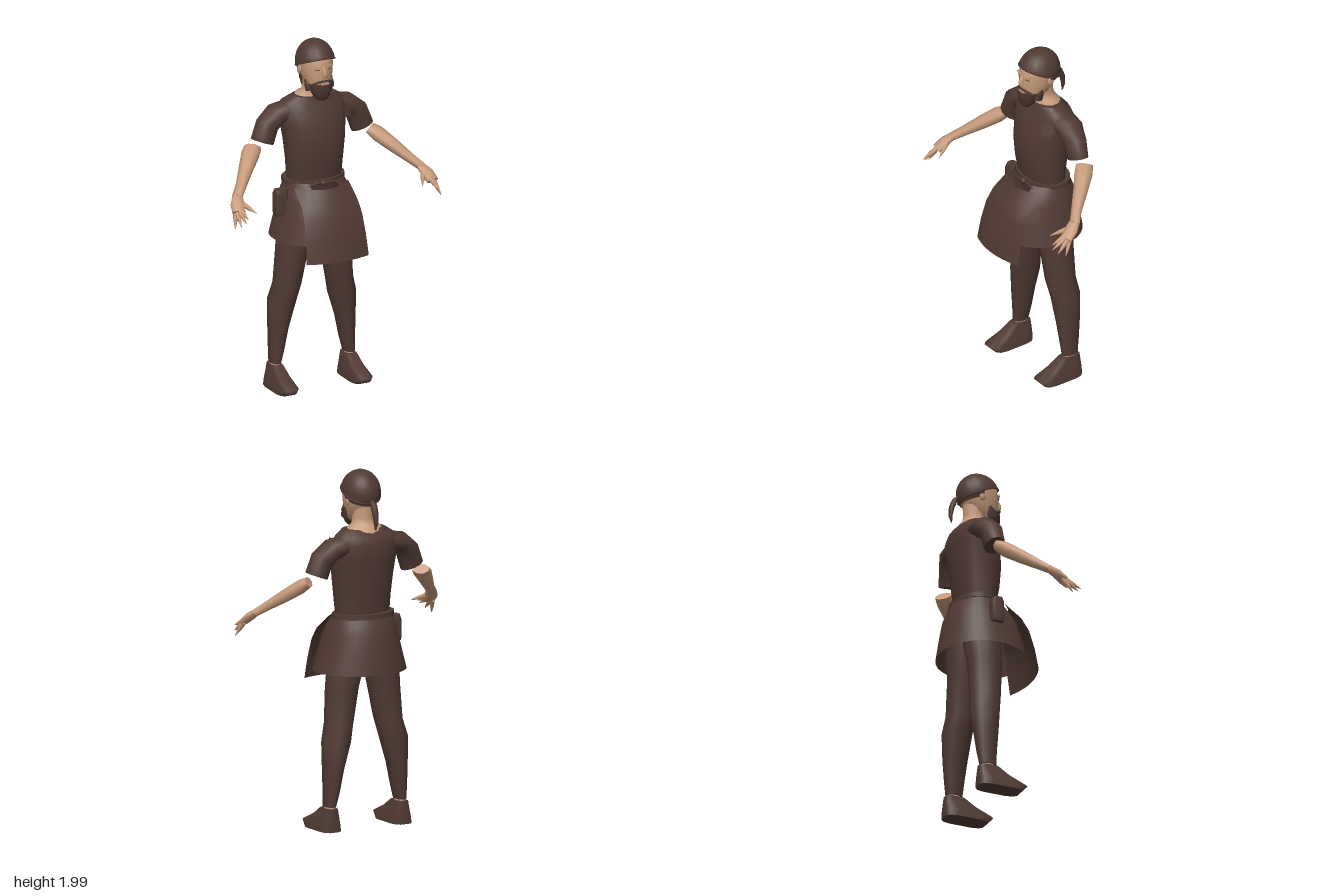
import * as THREE from 'three';

const mat = (name, color, extra = {}) => {
  const m = new THREE.MeshStandardMaterial({ color, ...extra });
  m.name = name;
  return m;
};

const V = (x, y, z) => new THREE.Vector3(x, y, z);

// Closed skin over rings [x, y, z, ra, rb]; ra runs along ref, dir fixes the ring planes
function loft(rings, { ref = V(1, 0, 0), dir = null, n = 14, power = 1 } = {}) {
  const pos = [], idx = [], c = rings.map(r => V(r[0], r[1], r[2]));
  const bend = t => Math.sign(t) * Math.abs(t) ** power;
  rings.forEach((r, i) => {
    const d = dir ? dir.clone() : c[Math.min(i + 1, c.length - 1)].clone().sub(c[Math.max(i - 1, 0)]).normalize();
    const u = ref.clone().addScaledVector(d, -ref.dot(d)).normalize();
    const v = u.clone().cross(d);
    for (let j = 0; j < n; j++) {
      const a = (j + 0.5) / n * Math.PI * 2;
      const p = c[i].clone().addScaledVector(u, r[3] * bend(Math.cos(a))).addScaledVector(v, r[4] * bend(Math.sin(a)));
      pos.push(p.x, p.y, p.z);
    }
  });
  for (let i = 0; i < rings.length - 1; i++) for (let j = 0; j < n; j++) {
    const a = i * n + j, b = i * n + (j + 1) % n;
    idx.push(a, a + n, b + n, a, b + n, b);
  }
  // End caps with their own corners, so the rims stay crisp
  [0, rings.length - 1].forEach((i, end) => {
    const s = pos.length / 3;
    for (let j = 0; j < n; j++) pos.push(...pos.slice((i * n + j) * 3, (i * n + j) * 3 + 3));
    for (let j = 1; j < n - 1; j++) idx.push(s, ...(end ? [s + j + 1, s + j] : [s + j, s + j + 1]));
  });
  return build(pos, idx);
}

// Open cloth sheet: at(i, t) gives a point for row i and t from 0 to 1
function sheet(rows, cols, at) {
  const pos = [], idx = [];
  for (let i = 0; i < rows; i++) for (let j = 0; j <= cols; j++) pos.push(...at(i, j / cols));
  for (let i = 0; i < rows - 1; i++) for (let j = 0; j < cols; j++) {
    const a = i * (cols + 1) + j, b = a + cols + 1;
    idx.push(a, b, a + 1, a + 1, b, b + 1);
  }
  return build(pos, idx);
}

function build(pos, idx) {
  const g = new THREE.BufferGeometry();
  g.setAttribute('position', new THREE.Float32BufferAttribute(pos, 3));
  g.setIndex(idx);
  g.computeVertexNormals();
  return g;
}

export function createModel() {
  const root = new THREE.Group();
  const cloth = mat('dark brown cloth', 0x503a33, { side: THREE.DoubleSide });
  const skin = mat('skin', 0xc69a7a);
  const hair = mat('beard brown', 0x49362f);
  const dark = mat('eye brown', 0x765644);
  const add = (name, geo, m, p = [0, 0, 0]) => {
    const mesh = new THREE.Mesh(geo, m);
    mesh.name = name;
    mesh.position.set(...p);
    root.add(mesh);
    return mesh;
  };
  const up = V(0, 1, 0), down = V(0, -1, 0), front = V(0, 0, 1);

  // Tunic body
  add('tunic', loft([
    [0, 1.1, -0.08, 0.15, 0.09], [0, 1.2, -0.08, 0.16, 0.1], [0, 1.3, -0.077, 0.164, 0.119],
    [0, 1.42, -0.08, 0.176, 0.131], [0, 1.52, -0.093, 0.188, 0.131], [0, 1.6, -0.107, 0.202, 0.118],
    [0, 1.645, -0.11, 0.18, 0.098], [0, 1.682, -0.092, 0.125, 0.073],
  ], { dir: up, n: 18, power: 0.88 }), cloth);

  // Skirt rows: height, centre z, half width, back depth, front depth; open at the front
  const skirt = [[1.2, -0.085, 0.168, 0.125, 0.142], [1.15, -0.08, 0.188, 0.158, 0.19], [1.1, -0.075, 0.203, 0.182, 0.227],
    [1.0, -0.07, 0.229, 0.204, 0.256], [0.885, -0.06, 0.263, 0.23, 0.264]];
  add('skirt', sheet(5, 26, (i, t) => {
    const [y, cz, rx, back, fore] = skirt[i], a = (t * 2 - 1) * 2.65, c = Math.cos(a);
    return [-rx * Math.sin(a), y, cz - c * (c < 0 ? fore : back)];
  }), cloth);

  // Apron hanging away from the waist
  const apron = [[1.18, 0.165, 0.01, 0.105], [1.1, 0.17, 0.12, 0.16], [1.03, 0.176, 0.165, 0.198], [0.92, 0.183, 0.197, 0.23], [0.803, 0.19, 0.217, 0.254]];
  add('apron', sheet(5, 10, (i, t) => {
    const [y, w, edge, mid] = apron[i], s = t * 2 - 1;
    return [s * w, y, mid + (edge - mid) * s * s];
  }), cloth);

  // Belt, knot and hanging ends
  add('belt', loft([[0, 1.185, -0.09, 0.183, 0.128], [0, 1.212, -0.09, 0.183, 0.128]], { dir: up, n: 24 }), cloth);
  add('beltKnot', new THREE.SphereGeometry(0.018, 8, 6), cloth, [0, 1.196, 0.042]);
  for (const s of [-1, 1]) {
    add('beltEnd', loft([[0, 1.195, 0.042, 0.007, 0.006], [s * 0.045, 1.203, 0.052, 0.01, 0.005], [s * 0.09, 1.185, 0.045, 0.005, 0.005]],
      { ref: up, n: 6 }), cloth);
  }
  add('beltPouch', loft([[-0.216, 1.02, -0.05, 0.038, 0.034], [-0.218, 1.04, -0.05, 0.04, 0.038], [-0.218, 1.14, -0.05, 0.039, 0.036], [-0.216, 1.165, -0.05, 0.036, 0.025]],
    { dir: up, n: 12, power: 0.5 }), cloth);

  // Limbs, mirrored side to side
  for (const s of [1, -1]) {
    const side = s > 0 ? 'left' : 'right';
    const m = rings => rings.map(([x, ...r]) => [s * x, ...r]);

    add(side + 'Sleeve', loft(m([
      [0.12, 1.6, -0.115, 0.08, 0.055], [0.215, 1.58, -0.115, 0.078, 0.061],
      [0.272, 1.53, -0.105, 0.064, 0.066], [0.305, 1.44, -0.1, 0.055, 0.068],
    ]), { ref: front }), cloth);
    add(side + 'Forearm', loft(m([
      [0.358, 1.413, -0.108, 0.03, 0.05], [0.39, 1.385, -0.075, 0.041, 0.052], [0.45, 1.33, -0.01, 0.037, 0.041],
      [0.52, 1.265, 0.07, 0.027, 0.03], [0.565, 1.225, 0.115, 0.022, 0.03],
    ]), { ref: up, n: 8 }), skin);
    add(side + 'Palm', loft(m([
      [0.56, 1.23, 0.11, 0.02, 0.03], [0.58, 1.2, 0.15, 0.024, 0.04], [0.592, 1.165, 0.195, 0.019, 0.038],
    ]), { ref: up, n: 8 }), skin);
    // Fingers and thumb: base then tip
    const digits = [[0.555, 1.2, 0.15, 0.507, 1.163, 0.24], [0.58, 1.18, 0.19, 0.575, 1.148, 0.275],
      [0.588, 1.172, 0.19, 0.592, 1.13, 0.287], [0.6, 1.165, 0.185, 0.61, 1.105, 0.262], [0.605, 1.165, 0.175, 0.628, 1.085, 0.223]];
    for (const [x, y, z, tx, ty, tz] of digits) {
      add(side + 'Finger', loft(m([[x, y, z, 0.016, 0.014], [(x + tx) / 2, (y + ty) / 2, (z + tz) / 2, 0.012, 0.011], [tx, ty, tz, 0.002, 0.002]]),
        { ref: up, n: 6 }), skin);
    }

    add(side + 'Leg', loft(m([
      [0.08, 1.1, -0.09, 0.08, 0.09], [0.108, 0.95, -0.09, 0.105, 0.105], [0.132, 0.8, -0.083, 0.092, 0.097],
      [0.158, 0.6, -0.091, 0.078, 0.088], [0.183, 0.5, -0.106, 0.081, 0.085], [0.204, 0.35, -0.108, 0.056, 0.072],
      [0.215, 0.23, -0.108, 0.043, 0.059], [0.225, 0.145, -0.105, 0.031, 0.05],
    ]), { dir: down }), cloth);
    add(side + 'Ankle', loft(m([[0.225, 0.1, -0.105, 0.026, 0.042], [0.225, 0.16, -0.105, 0.026, 0.042]]), { dir: up, n: 10 }), skin);
    // Wedge shoe with a flat sole and blunt toe
    add(side + 'Shoe', loft(m([
      [0.226, 0.008, -0.04, 0.06, 0.127], [0.226, 0.045, -0.023, 0.056, 0.145],
      [0.225, 0.09, -0.07, 0.042, 0.095], [0.225, 0.136, -0.102, 0.032, 0.058],
    ]), { dir: up, n: 12, power: 0.5 }), cloth);

    // Face details
    add(side + 'Ear', new THREE.SphereGeometry(0.02, 8, 6).scale(0.5, 1.3, 1), skin, [s * 0.09, 1.835, -0.075]);
    const eye = add(side + 'Eye', new THREE.BoxGeometry(0.026, 0.005, 0.008), dark, [s * 0.037, 1.857, 0.043]);
    eye.rotation.y = s * 0.4;
    const brow = add(side + 'Brow', new THREE.BoxGeometry(0.04, 0.008, 0.009), skin, [s * 0.036, 1.876, 0.047]);
    brow.rotation.y = s * 0.4;
    add(side + 'Moustache', loft([[s * 0.003, 1.793, 0.06, 0.006, 0.008], [s * 0.035, 1.788, 0.051, 0.006, 0.008], [s * 0.066, 1.765, 0.02, 0.005, 0.008]],
      { ref: up, n: 6 }), hair);
    add(side + 'Sideburn', loft([[s * 0.069, 1.73, -0.005, 0.03, 0.012], [s * 0.075, 1.76, -0.015, 0.024, 0.01], [s * 0.079, 1.79, -0.025, 0.006, 0.006]],
      { ref: front, n: 8 }), hair);
  }

  // Chest fold on the left shoulder
  const fold = add('shoulderFold', new THREE.CircleGeometry(0.045, 5), cloth, [0.165, 1.585, 0.005]);
  fold.rotation.set(-0.35, 0.6, 0.3);

  // Neck and head
  add('neck', loft([[0, 1.66, -0.105, 0.112, 0.085], [0, 1.688, -0.1, 0.1, 0.072], [0, 1.705, -0.09, 0.066, 0.064],
    [0, 1.74, -0.085, 0.058, 0.062], [0, 1.82, -0.08, 0.062, 0.07]], { dir: up }), skin);
  add('head', loft([
    [0, 1.715, -0.01, 0.045, 0.045], [0, 1.76, -0.035, 0.07, 0.085], [0, 1.82, -0.052, 0.086, 0.108],
    [0, 1.88, -0.058, 0.092, 0.11], [0, 1.925, -0.062, 0.088, 0.106], [0, 1.96, -0.07, 0.06, 0.07],
  ], { dir: up, n: 16 }), skin);
  add('nose', loft([[0, 1.875, 0.046, 0.008, 0.008], [0, 1.84, 0.06, 0.012, 0.015], [0, 1.815, 0.058, 0.018, 0.015], [0, 1.808, 0.05, 0.012, 0.01]],
    { dir: down, n: 8 }), skin);
  add('beard', loft([
    [0, 1.677, 0.025, 0.025, 0.022], [0, 1.7, 0.018, 0.048, 0.042], [0, 1.74, 0.01, 0.067, 0.055], [0, 1.77, 0.002, 0.075, 0.058],
  ], { dir: up, n: 12 }), hair);
  add('lips', new THREE.BoxGeometry(0.045, 0.011, 0.009), skin, [0, 1.777, 0.057]);

  // Head scarf: dome, rim, nape wrap and tail
  const cap = add('capDome', new THREE.SphereGeometry(1, 20, 8, 0, Math.PI * 2, 0, Math.PI / 2).scale(0.109, 0.13, 0.124), cloth, [0, 1.871, -0.062]);
  cap.rotation.x = -0.4;
  const rim = add('capRim', new THREE.TorusGeometry(1, 0.04, 6, 24).rotateX(Math.PI / 2).scale(0.107, 0.13, 0.121), cloth, [0, 1.871, -0.062]);
  rim.rotation.x = -0.4;
  add('napeWrap', sheet(3, 12, (i, t) => {
    const a = (t * 2 - 1) * 1.5, r = [1, 0.97, 0.88][i];
    return [-0.104 * r * Math.sin(a), 1.862 - i * (0.012 + 0.015 * Math.cos(a)), -0.06 - 0.116 * r * Math.cos(a)];
  }), cloth);
  add('scarfTail', loft([
    [0, 1.845, -0.185, 0.008, 0.008], [0, 1.82, -0.203, 0.02, 0.015], [0, 1.775, -0.221, 0.018, 0.015],
    [0, 1.725, -0.228, 0.014, 0.011], [0, 1.685, -0.222, 0.004, 0.004],
  ], { n: 8 }), cloth);

  return root;
}
